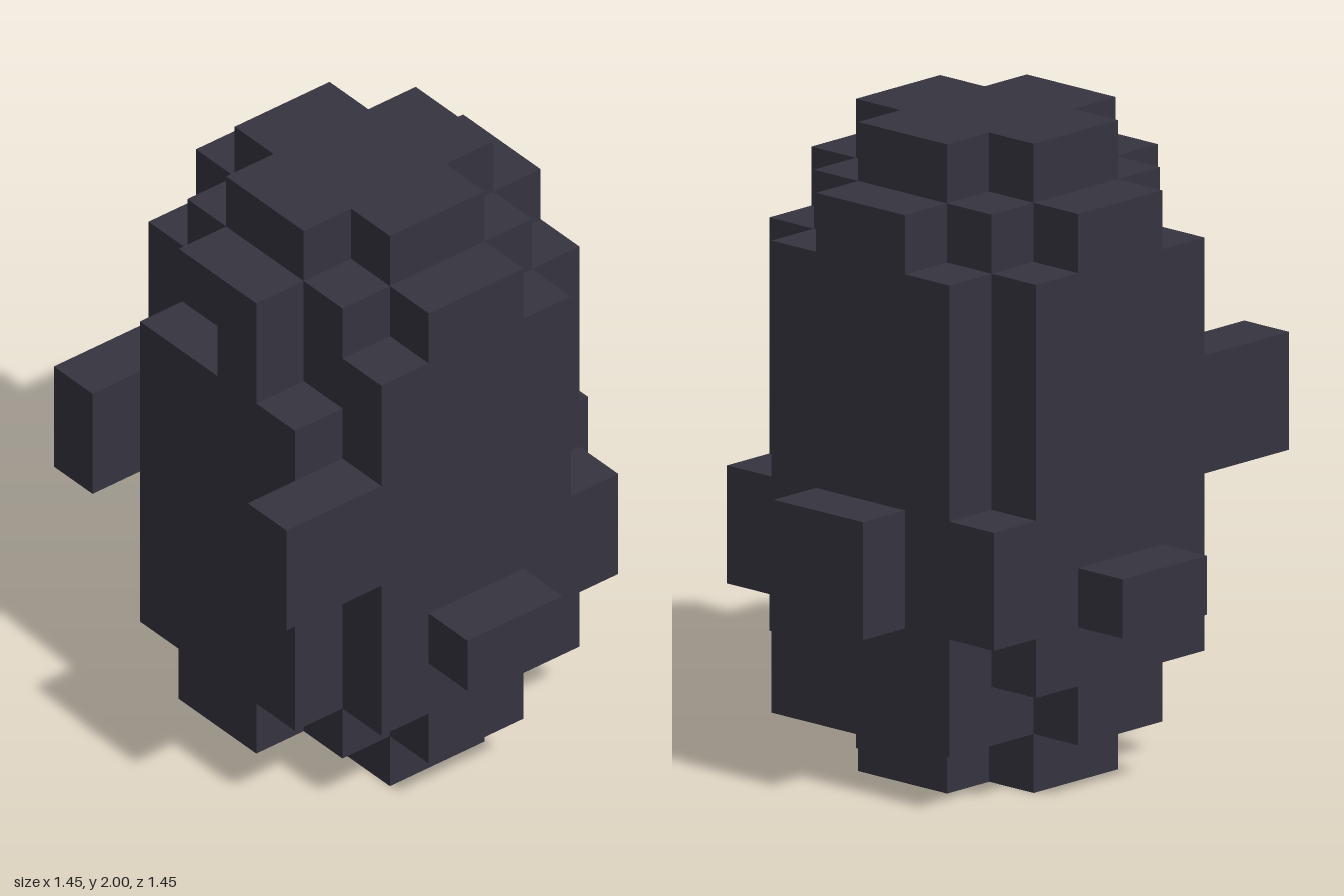
import * as THREE from 'three';
import { mergeGeometries } from 'three/addons/utils/BufferGeometryUtils.js';

const U = 2 / 11; // edge of one block

// Each part is a list of block ranges: [x0, x1, y0, y1, z0, z1]
const parts = {
  foot: [[-1, 1, 0, 1, -2, 2], [1, 2, 0, 1, -1, 1]],
  lowerBody: [
    [-1, 1, 1, 2, -3, 3], [-2, 3, 1, 2, -2, 2], [-3, -2, 1, 2, -1, 1],
  ],
  body: [
    [-2, 2, 2, 9, -3, 3], [-3, 3, 2, 8, -2, 2],
    // uneven rim under the shoulders
    [2, 3, 8, 9, -2, 2], [-3, -2, 8, 9, 0, 1],
  ],
  cornerBlocks: [[2, 3, 3, 5, 2, 3], [2, 3, 3, 5, -3, -2]],
  shoulders: [
    [-1, 1, 9, 10, -3, 3], [-2, 2, 9, 10, -2, 2], [-3, 3, 9, 10, -1, 1],
  ],
  cap: [[-1, 1, 10, 11, -2, 2], [-2, 2, 10, 11, -1, 1]],
  rightFrontArm: [[-4, -2, 5, 7, 2, 3]],
  rightBackArm: [[-4, -2, 5, 7, -3, -2]],
  leftKnob: [[3, 4, 3, 5, -1, 1]],
  frontKnob: [[-1, 1, 3, 4, 3, 4]],
  backKnob: [[-1, 1, 3, 4, -4, -3]],
};

// The six face directions with the turn that points a plane along each
const faces = [
  [1, 0, 0, 0, Math.PI / 2], [-1, 0, 0, 0, -Math.PI / 2],
  [0, 1, 0, -Math.PI / 2, 0], [0, -1, 0, Math.PI / 2, 0],
  [0, 0, 1, 0, 0], [0, 0, -1, 0, Math.PI],
];

export function createModel() {
  const group = new THREE.Group();
  group.name = 'blockFigure';
  const slate = new THREE.MeshStandardMaterial({ color: 0x353440 });
  slate.name = 'dark slate';

  // Fill the grid, each cell owned by the first part that claims it
  const cells = new Map();
  for (const [name, ranges] of Object.entries(parts)) {
    for (const [x0, x1, y0, y1, z0, z1] of ranges) {
      for (let x = x0; x < x1; x++)
        for (let y = y0; y < y1; y++)
          for (let z = z0; z < z1; z++) {
            const key = `${x},${y},${z}`;
            if (!cells.has(key)) cells.set(key, { name, x, y, z });
          }
    }
  }

  // Keep only the outer faces of the blocks
  const quads = {};
  for (const { name, x, y, z } of cells.values()) {
    for (const [dx, dy, dz, rx, ry] of faces) {
      if (cells.has(`${x + dx},${y + dy},${z + dz}`)) continue;
      const quad = new THREE.PlaneGeometry(U, U).rotateX(rx).rotateY(ry);
      quad.translate((x + 0.5 + dx / 2) * U, (y + 0.5 + dy / 2) * U, (z + 0.5 + dz / 2) * U);
      (quads[name] ??= []).push(quad);
    }
  }

  for (const [name, list] of Object.entries(quads)) {
    const mesh = new THREE.Mesh(mergeGeometries(list), slate);
    mesh.name = name;
    group.add(mesh);
  }
  return group;
}
